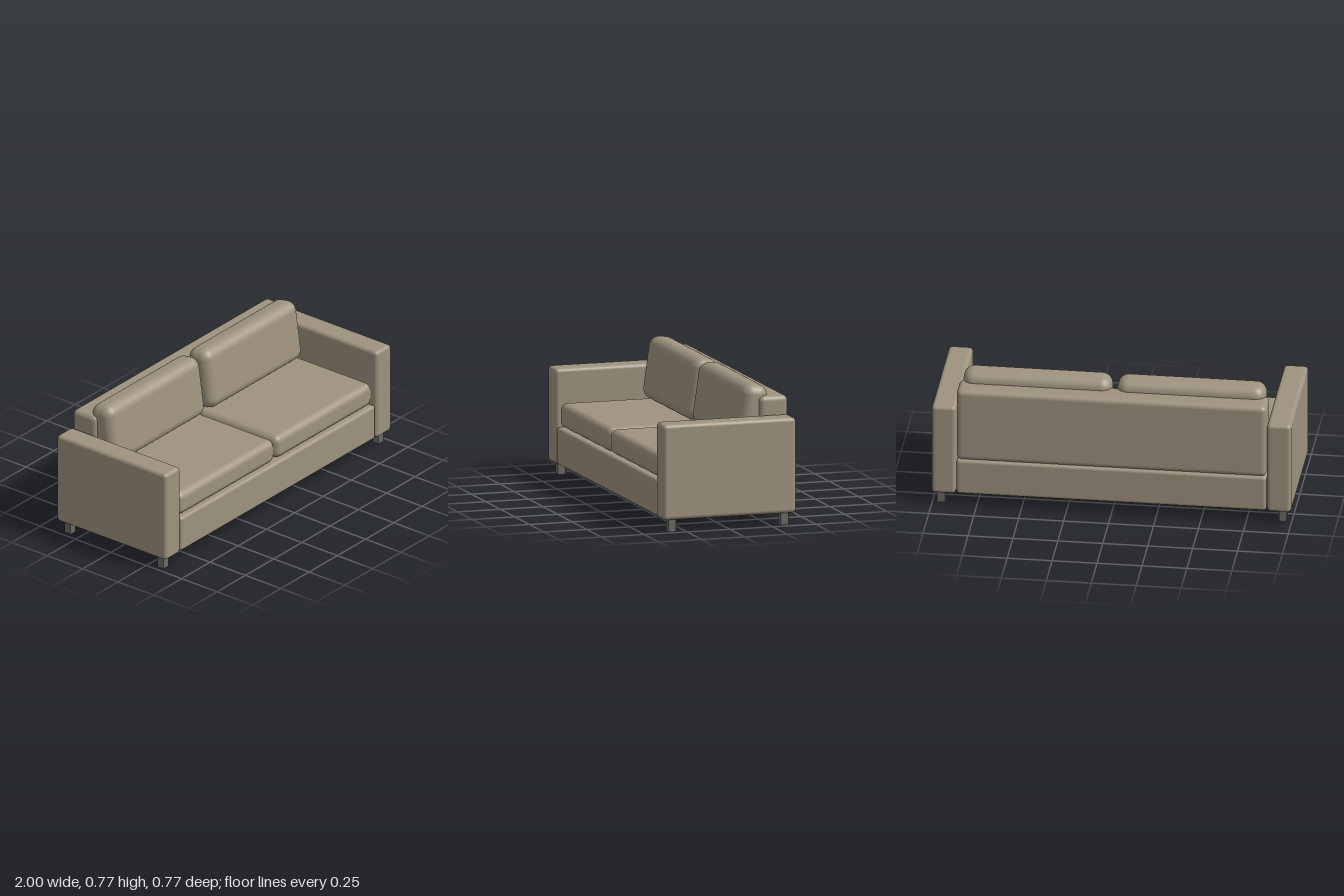
import * as THREE from 'three';
import { RoundedBoxGeometry } from 'three/addons/geometries/RoundedBoxGeometry.js';

const fabric = new THREE.MeshStandardMaterial({ name: 'taupe fabric', color: 0x9f9380 });
const metal = new THREE.MeshStandardMaterial({ name: 'grey leg', color: 0x6b6a64 });

// Upholstered block given by its extents on each axis
function block(name, [x0, x1], [y0, y1], [z0, z1], radius) {
  const geometry = new RoundedBoxGeometry(x1 - x0, y1 - y0, z1 - z0, 5, radius);
  const mesh = new THREE.Mesh(geometry, fabric);
  mesh.name = name;
  mesh.position.set((x0 + x1) / 2, (y0 + y1) / 2, (z0 + z1) / 2);
  return mesh;
}

export function createModel() {
  const sofa = new THREE.Group();
  sofa.name = 'sofa';

  // Frame
  sofa.add(block('base', [-0.862, 0.862], [0.073, 0.28], [-0.385, 0.385], 0.018));
  sofa.add(block('backrest', [-0.862, 0.862], [0.28, 0.707], [-0.387, -0.22], 0.03));

  for (const side of [-1, 1]) {
    const label = side > 0 ? 'left' : 'right';
    const span = (a, b) => (side > 0 ? [a, b] : [-b, -a]);

    // Armrest
    sofa.add(block(label + 'Arm', span(0.865, 1), [0.07, 0.604], [-0.387, 0.387], 0.022));

    // Seat cushion
    sofa.add(block(label + 'SeatCushion', span(0.006, 0.856), [0.28, 0.417], [-0.225, 0.37], 0.04));

    // Back cushion, leaning against the backrest
    const cushion = block(label + 'BackCushion', span(0.015, 0.842), [0.416, 0.769], [-0.269, -0.117], 0.06);
    cushion.rotation.x = THREE.MathUtils.degToRad(-8);
    sofa.add(cushion);

    // Legs under the armrest
    for (const end of [-1, 1]) {
      const leg = new THREE.Mesh(new THREE.BoxGeometry(0.044, 0.075, 0.044), metal);
      leg.name = label + (end > 0 ? 'FrontLeg' : 'BackLeg');
      leg.position.set(side * 0.95, 0.0375, end * 0.328);
      sofa.add(leg);
    }
  }
  return sofa;
}
